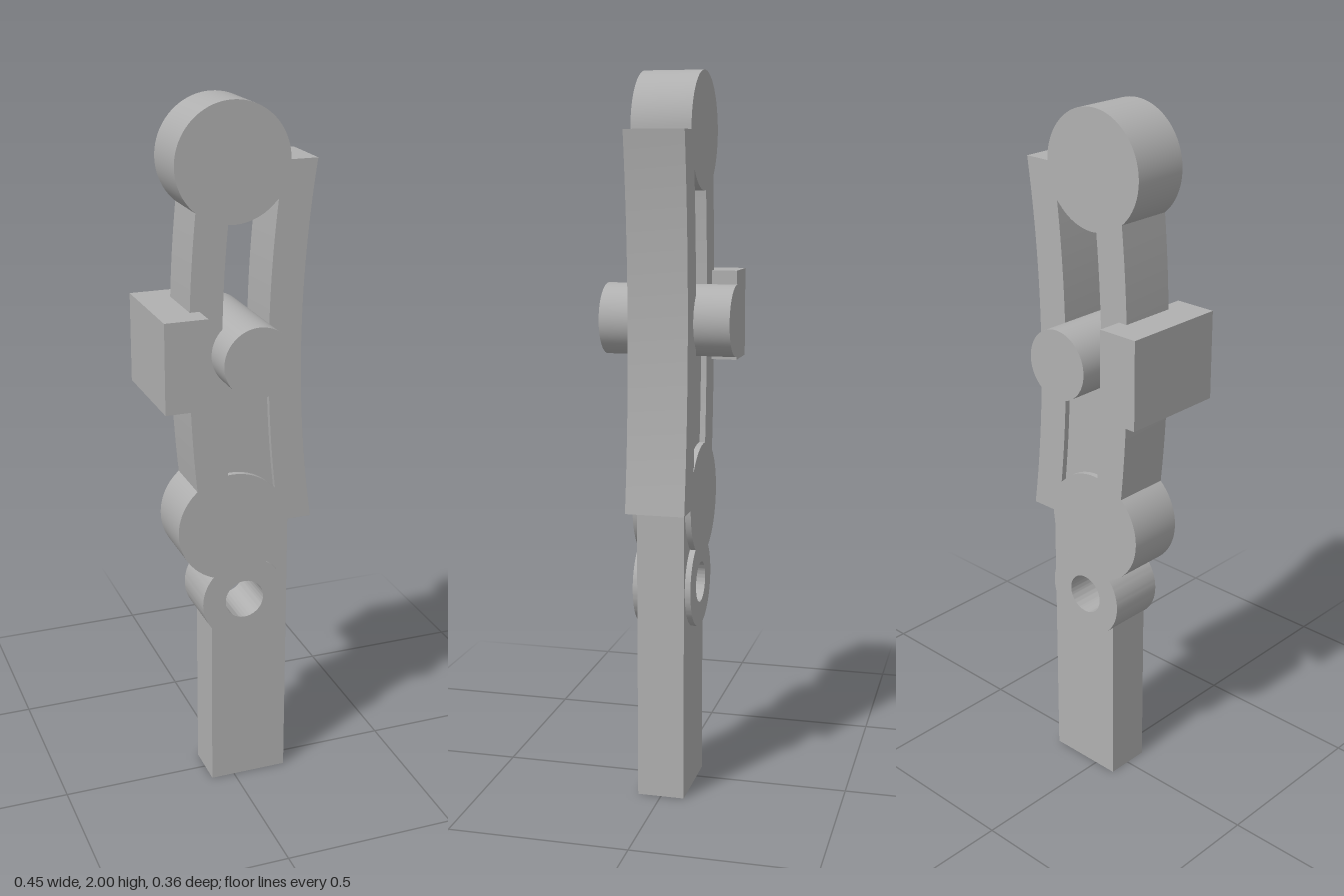
import * as THREE from 'three';
import { toCreasedNormals } from 'three/addons/utils/BufferGeometryUtils.js';

const MID = 1.334;            // height of the pin and symmetry line of the link
const CX = 3.605;             // centre of the link's curvature
const LOBE = { x: -0.011, r: 0.159, dy: 0.507 };

// point on a curved edge of radius R, at height dy from the middle
const edge = (R, dy) => new THREE.Vector2(CX - Math.sqrt(R * R - dy * dy), MID + dy);

function edgePoints(R, from, to, n = 24) {
  return Array.from({ length: n + 1 }, (_, i) => edge(R, from + (to - from) * i / n));
}

// arc on the upper (side = 1) or lower (side = -1) lobe, between two points
function lobePoints(side, a, b, ccw, n) {
  const cy = MID + side * LOBE.dy;
  const start = Math.atan2(a.y - cy, a.x - LOBE.x);
  let sweep = Math.atan2(b.y - cy, b.x - LOBE.x) - start;
  if (ccw && sweep <= 0) sweep += 2 * Math.PI;
  if (!ccw && sweep >= 0) sweep -= 2 * Math.PI;
  return Array.from({ length: n + 1 }, (_, i) => {
    const t = start + sweep * i / n;
    return new THREE.Vector2(LOBE.x + LOBE.r * Math.cos(t), cy + LOBE.r * Math.sin(t));
  });
}

function extrude(shape, halfDepth) {
  const geo = new THREE.ExtrudeGeometry(shape, { depth: 2 * halfDepth, bevelEnabled: false, curveSegments: 48 });
  geo.translate(0, 0, -halfDepth);
  return toCreasedNormals(geo, 0.5);
}

function circlePath(x, y, r, Type = THREE.Path) {
  const p = new Type();
  p.absarc(x, y, r, 0, Math.PI * 2, false);
  return p;
}

export function createModel() {
  const group = new THREE.Group();
  const steel = new THREE.MeshStandardMaterial({ color: 0xb0b0b0 });
  steel.name = 'grey steel';
  const add = (name, geometry) => {
    const mesh = new THREE.Mesh(geometry, steel);
    mesh.name = name;
    group.add(mesh);
    return mesh;
  };

  // curved link with a round lobe at each end
  const shoulder = side => new THREE.Vector2(LOBE.x + LOBE.r, MID + side * LOBE.dy);
  const link = new THREE.Shape([
    ...edgePoints(3.42, -LOBE.dy, LOBE.dy),
    ...lobePoints(1, shoulder(1), edge(3.739, 0.386), true, 48),
    ...edgePoints(3.739, 0.386, -0.386).slice(1, -1),
    ...lobePoints(-1, edge(3.739, -0.386), shoulder(-1), true, 48),
  ]);

  // slot, closed at its ends by the lobes
  link.holes.push(new THREE.Path([
    ...edgePoints(3.514, 0.407, -0.407),
    ...lobePoints(-1, edge(3.514, -0.407), edge(3.647, -0.349), true, 12).slice(1),
    ...edgePoints(3.647, -0.349, 0.349).slice(1),
    ...lobePoints(1, edge(3.647, 0.349), edge(3.514, 0.407), true, 12).slice(1, -1),
  ]));
  add('slottedLink', extrude(link, 0.082));

  // eye below the link
  const eyeX = 0.025, eyeY = 0.595;
  const eye = circlePath(eyeX, eyeY, 0.125, THREE.Shape);
  eye.holes.push(circlePath(eyeX, eyeY, 0.057));
  add('eye', extrude(eye, 0.082));

  // flat rod running up behind the pin, bored through at the eye
  const rod = new THREE.Shape([[-0.069, 0], [0.16, 0], [0.16, MID], [-0.069, MID]]
    .map(([x, y]) => new THREE.Vector2(x, y)));
  rod.holes.push(circlePath(eyeX, eyeY, 0.057));
  add('rod', extrude(rod, 0.066));

  // pin through the slot
  const pin = add('pin', new THREE.CylinderGeometry(0.098, 0.098, 0.362, 64));
  pin.rotation.x = Math.PI / 2;
  pin.position.set(0.026, MID, 0);

  // block on the outer side of the link
  add('sideBlock', new THREE.BoxGeometry(0.12, 0.25, 0.306)).position.set(-0.165, 1.335, 0);

  return group;
}
